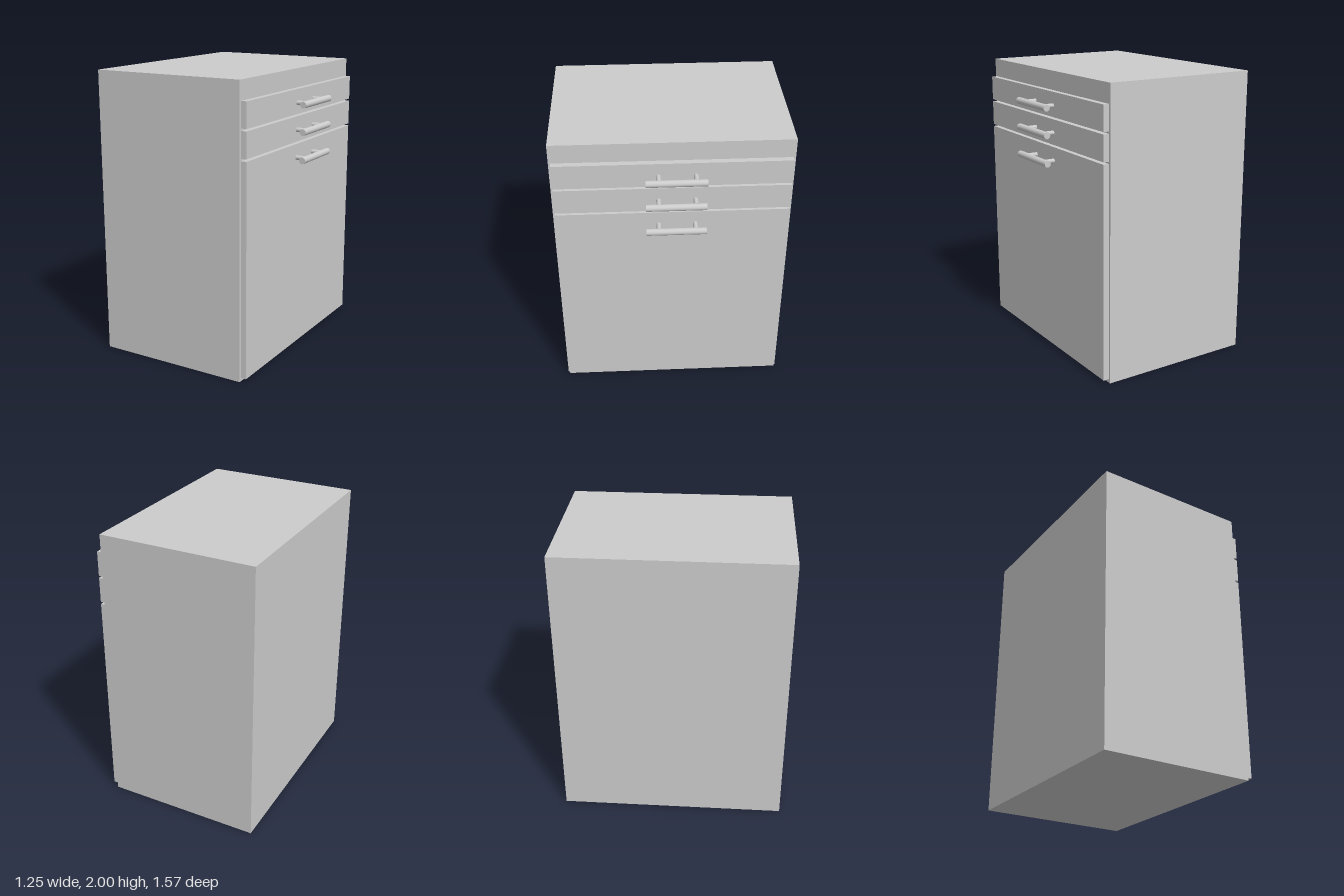
import * as THREE from 'three';

const material = new THREE.MeshStandardMaterial({ color: 0xcccccc });

function addMesh(parent, name, geometry, x, y, z) {
  const mesh = new THREE.Mesh(geometry, material);
  mesh.name = name;
  mesh.position.set(x, y, z);
  parent.add(mesh);
  return mesh;
}

// Bar handle on two round posts, sticking out along +x from the panel face
function makeHandle(faceX, y) {
  const handle = new THREE.Group();
  handle.name = 'handle';
  const bar = addMesh(handle, 'handleBar', new THREE.CylinderGeometry(0.023, 0.023, 0.392, 32), 0.6, y, -0.02);
  bar.rotation.x = Math.PI / 2;
  for (const z of [-0.148, 0.093]) {
    const length = 0.59 - faceX;
    const post = addMesh(handle, 'handlePost', new THREE.CylinderGeometry(0.0155, 0.0155, length, 24), faceX + length / 2, y, z);
    post.rotation.z = Math.PI / 2;
  }
  return handle;
}

export function createModel() {
  const cabinet = new THREE.Group();
  cabinet.name = 'cabinet';

  // Carcass
  addMesh(cabinet, 'carcass', new THREE.BoxGeometry(1.1, 2, 1.57), -0.075, 1, 0);

  // Two drawer fronts above a tall door, each with its handle
  const panels = [
    { name: 'upperDrawerFront', bottom: 1.7, top: 1.87, handleY: 1.777 },
    { name: 'lowerDrawerFront', bottom: 1.51, top: 1.685, handleY: 1.593 },
    { name: 'doorFront', bottom: 0.025, top: 1.495, handleY: 1.4 },
  ];
  for (const { name, bottom, top, handleY } of panels) {
    addMesh(cabinet, name, new THREE.BoxGeometry(0.04, top - bottom, 1.54), 0.495, (top + bottom) / 2, 0);
    cabinet.add(makeHandle(0.515, handleY));
  }
  return cabinet;
}
